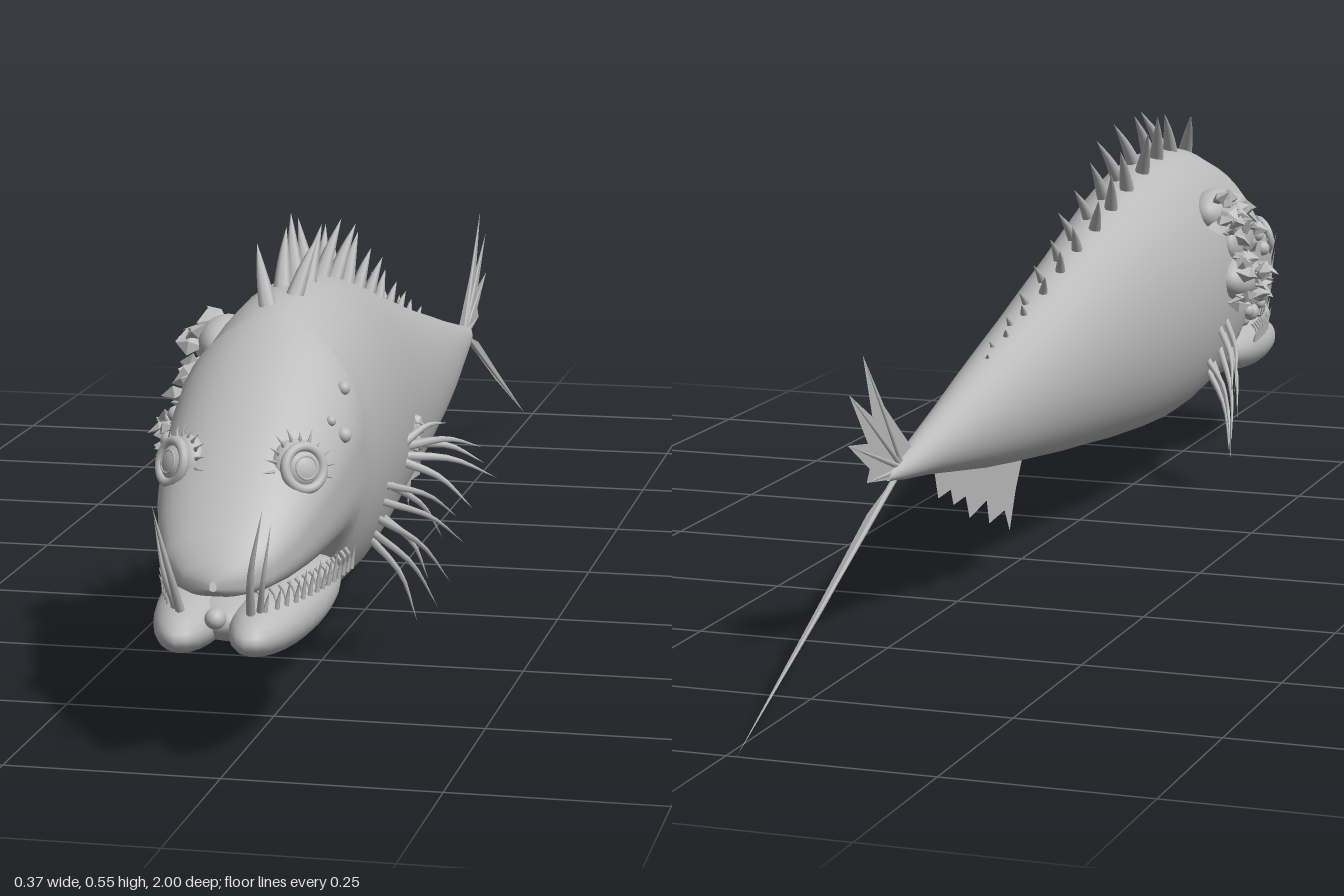
import * as THREE from 'three';

const MID = -0.013; // the body sits slightly off centre
const SIDES = 40;

// Body stations: z, top, bottom, half width
const STATIONS = [
  [0.975, 0.216, 0.205, 0.004], [0.968, 0.236, 0.198, 0.036], [0.945, 0.264, 0.196, 0.062],
  [0.9, 0.306, 0.195, 0.082], [0.85, 0.352, 0.195, 0.096], [0.8, 0.393, 0.195, 0.105],
  [0.74, 0.437, 0.195, 0.111], [0.705, 0.457, 0.188, 0.113], [0.69, 0.464, 0.125, 0.112],
  [0.65, 0.477, 0.106, 0.113], [0.58, 0.484, 0.098, 0.114], [0.5, 0.48, 0.095, 0.112],
  [0.4, 0.459, 0.1, 0.104], [0.3, 0.433, 0.108, 0.094], [0.2, 0.405, 0.119, 0.085],
  [0.1, 0.378, 0.129, 0.078], [0, 0.351, 0.141, 0.069], [-0.1, 0.326, 0.153, 0.06],
  [-0.2, 0.302, 0.166, 0.049], [-0.3, 0.277, 0.182, 0.037], [-0.4, 0.254, 0.198, 0.025],
  [-0.48, 0.236, 0.208, 0.014], [-0.53, 0.224, 0.216, 0.003],
];

function section(z) {
  let i = 0;
  while (i < STATIONS.length - 2 && STATIONS[i + 1][0] > z) i++;
  const a = STATIONS[i], b = STATIONS[i + 1];
  const t = THREE.MathUtils.clamp((z - a[0]) / (b[0] - a[0]), 0, 1);
  return a.map((v, k) => v + (b[k] - v) * t);
}

// Point on the skin at depth z; angle 0 is the model's left, PI/2 the back
function skin(z, angle) {
  const [, top, bottom, half] = section(z);
  const c = Math.cos(angle), s = Math.sin(angle);
  const p = s < 0 && z > 0.7 ? 0.6 : 1; // squarer lower edge above the mouth
  const mid = (top + bottom) / 2, ry = (top - bottom) / 2;
  return new THREE.Vector3(MID + half * Math.sign(c) * Math.abs(c) ** p,
    mid + ry * Math.sign(s) * Math.abs(s) ** p, z);
}

// Skin point at a given height on one side
function flank(z, y, side) {
  const [, top, bottom] = section(z);
  const s = THREE.MathUtils.clamp((2 * y - top - bottom) / (top - bottom), -1, 1);
  const a = Math.asin(s);
  return skin(z, side > 0 ? a : Math.PI - a);
}

function bodyGeometry() {
  const pos = [], index = [];
  STATIONS.forEach(([z]) => {
    for (let j = 0; j < SIDES; j++) pos.push(...skin(z, (j / SIDES) * Math.PI * 2).toArray());
  });
  for (let i = 0; i < STATIONS.length - 1; i++) {
    for (let j = 0; j < SIDES; j++) {
      const k = (j + 1) % SIDES, a = i * SIDES, b = a + SIDES;
      index.push(a + j, b + j, a + k, b + j, b + k, a + k);
    }
  }
  const g = new THREE.BufferGeometry();
  g.setAttribute('position', new THREE.Float32BufferAttribute(pos, 3));
  g.setIndex(index);
  g.computeVertexNormals();
  return g;
}

// Curved spine tapering to a point
function spineGeometry(points, radius, steps = 7, sides = 7) {
  const curve = new THREE.CatmullRomCurve3(points.map((p) => new THREE.Vector3(...p)));
  const g = new THREE.TubeGeometry(curve, steps, radius, sides);
  const pos = g.attributes.position, v = new THREE.Vector3();
  for (let i = 0; i < pos.count; i++) {
    const t = Math.floor(i / (sides + 1)) / steps;
    v.fromBufferAttribute(pos, i).lerp(curve.getPointAt(t), t ** 1.3);
    pos.setXYZ(i, v.x, v.y, v.z);
  }
  return g;
}

function randomizer(seed) {
  return () => ((seed = (seed * 16807) % 2147483647) / 2147483647);
}

export function createModel() {
  const model = new THREE.Group();
  const skinGray = new THREE.MeshStandardMaterial({ color: 0xbbbbbb, side: THREE.DoubleSide });
  skinGray.name = 'skin gray';
  const rand = randomizer(71);
  const spread = (n) => (rand() * 2 - 1) * n;

  const add = (name, geometry, parent = model) => {
    const m = new THREE.Mesh(geometry, skinGray);
    m.name = name;
    parent.add(m);
    return m;
  };
  const ball = (name, p, scale, parent = model) => {
    const m = add(name, new THREE.SphereGeometry(1, 24, 16), parent);
    m.position.set(...p);
    m.scale.set(...scale);
    return m;
  };
  const spine = (name, points, r, steps) => add(name, spineGeometry(points, r, steps));

  add('body', bodyGeometry());

  // Lower jaw: two long lobes, chin nub and mouth floor
  for (const s of [-1, 1]) {
    const lobe = ball('jawLobe', [MID + s * 0.049, 0.158, 0.835], [0.046, 0.037, 0.16]);
    lobe.rotation.set(0.05, -s * 0.06, 0);
  }
  ball('mouthFloor', [MID, 0.157, 0.79], [0.085, 0.04, 0.155]);
  ball('chinNub', [MID, 0.172, 0.965], [0.012, 0.012, 0.014]);

  for (const s of [-1, 1]) {
    // Long front fangs
    spine('fang', [[MID + s * 0.04, 0.18, 0.965], [MID + s * 0.046, 0.23, 0.988],
      [MID + s * 0.062, 0.305, 0.998]], 0.0055);
    spine('innerFang', [[MID + s * 0.048, 0.18, 0.955], [MID + s * 0.056, 0.22, 0.972],
      [MID + s * 0.066, 0.285, 0.975]], 0.004);
    // Rows of small teeth along the lips
    for (let i = 0; i < 14; i++) {
      const z = 0.735 + i * 0.0165, x = MID + s * section(z)[3] * 0.92;
      const h = 0.014 + rand() * 0.02;
      spine('lowerTooth', [[x, 0.178, z], [x + s * 0.003, 0.185 + h * 0.5, z], [x + s * 0.006, 0.185 + h, z + 0.003]], 0.003, 3);
      spine('upperTooth', [[x - s * 0.006, 0.204, z + 0.008], [x, 0.195, z + 0.008], [x, 0.183, z + 0.008]], 0.0025, 3);
    }

    // Eyes: socket, rim, eyeball, pupil and short lashes
    const eye = new THREE.Group();
    eye.name = 'eye';
    eye.position.set(MID + s * 0.071, 0.32, 0.853);
    eye.lookAt(eye.position.clone().add(new THREE.Vector3(s * 0.66, 0.25, 0.7)));
    model.add(eye);
    ball('eyeSocket', [0, 0, -0.01], [0.031, 0.034, 0.02], eye);
    const rim = add('eyeRim', new THREE.TorusGeometry(0.024, 0.006, 10, 28), eye);
    rim.position.z = 0.008;
    ball('eyeball', [0, 0, 0.005], [0.021, 0.021, 0.011], eye);
    const pupil = add('pupil', new THREE.TorusGeometry(0.013, 0.0015, 6, 24), eye);
    pupil.position.z = 0.0135;
    for (let i = 0; i < 18; i++) {
      const a = (i / 18) * Math.PI * 2, c = Math.cos(a), d = Math.sin(a), r = 0.038 + rand() * 0.012;
      add('eyeLash', spineGeometry([[c * 0.028, d * 0.028, -0.006], [c * 0.034, d * 0.034, -0.002],
        [c * r, d * r, -0.006]], 0.0028, 3, 5), eye);
    }

    // Pectoral fin: a fan of bare spines; root y, root z, then tip x, y, z
    for (const [y, z, tx, ty, tz] of [[0.17, 0.55, 0.132, 0.055, 0.5], [0.18, 0.56, 0.148, 0.06, 0.45],
      [0.2, 0.57, 0.158, 0.085, 0.42], [0.22, 0.57, 0.172, 0.13, 0.4], [0.24, 0.57, 0.165, 0.165, 0.41],
      [0.19, 0.52, 0.14, 0.1, 0.47], [0.235, 0.54, 0.152, 0.145, 0.44]]) {
      const p = flank(z, y, s), x = Math.abs(p.x - MID);
      spine('pectoralSpine', [[p.x - s * 0.006, y, z],
        [MID + s * ((tx + x) / 2 + 0.006), (y + ty) / 2 + 0.008, (z + tz) / 2], [MID + s * tx, ty, tz]], 0.005);
    }
  }

  // Wart patch and long tendrils on the left flank
  for (let i = 0; i < 10; i++) {
    const z = 0.34 + spread(0.045), y = 0.25 + spread(0.022);
    const wart = add('flankWart', new THREE.IcosahedronGeometry(0.005 + rand() * 0.006, 0));
    wart.position.copy(flank(z, y, 1));
    wart.rotation.set(rand() * 3, rand() * 3, 0);
  }
  for (const [y, z, tx, ty, tz] of [[0.24, 0.41, 0.187, 0.2, 0.335], [0.25, 0.4, 0.157, 0.225, 0.275],
    [0.26, 0.43, 0.13, 0.275, 0.37], [0.245, 0.36, 0.165, 0.21, 0.3], [0.235, 0.42, 0.165, 0.17, 0.38]]) {
    const p = flank(z, y, 1);
    spine('flankTendril', [[p.x - 0.006, y, z], [(p.x + tx) / 2, (y + ty) / 2 + 0.01, (z + tz) / 2],
      [tx, ty, tz]], 0.006);
  }

  // Jagged growths on the right flank: centre y, z, reach, count
  for (const [cy, cz, reach, count] of [[0.298, 0.6, 0.062, 26], [0.402, 0.55, 0.056, 22], [0.35, 0.62, 0.03, 8]]) {
    const root = flank(cz, cy, -1);
    ball('growthBase', [root.x, cy, cz], [reach * 0.55, 0.032, 0.058]);
    for (let i = 0; i < count; i++) {
      const dy = spread(0.034), dz = spread(0.055);
      const out = reach * (0.6 + 0.4 * rand()) * (1 - Math.abs(dy) * 13 - Math.abs(dz) * 6);
      const shard = add('growthShard', new THREE.OctahedronGeometry(1, 0));
      shard.position.set(root.x - Math.max(0.008, out * 0.9), cy + dy, cz + dz);
      shard.scale.set(0.018, 0.005 + rand() * 0.005, 0.008 + rand() * 0.01);
      shard.rotation.set(rand() * 3, spread(0.6), spread(0.7));
    }
  }

  // Round warts on the head: side, y, z, radius
  for (const [s, y, z, r] of [[1, 0.388, 0.73, 0.008], [1, 0.342, 0.77, 0.009], [1, 0.36, 0.78, 0.006],
    [-1, 0.22, 0.74, 0.01], [-1, 0.245, 0.72, 0.013], [-1, 0.27, 0.75, 0.011], [-1, 0.29, 0.72, 0.014],
    [-1, 0.32, 0.74, 0.011], [-1, 0.345, 0.71, 0.01], [-1, 0.25, 0.77, 0.009], [-1, 0.235, 0.68, 0.01]]) {
    ball('headWart', flank(z, y, s).toArray(), [r, r, r]);
  }

  // Dorsal spines, leaning back and shrinking along the rear half
  for (let i = 0; i < 25; i++) {
    const z = 0.665 - i * 0.035, t = THREE.MathUtils.clamp((0.38 - z) / 0.58, 0, 1);
    const h = (0.074 - 0.062 * t ** 0.75) * (0.82 + 0.18 * rand());
    const lean = [-0.4, 0.25, -0.12, 0.08, -0.28, 0.2][i % 6] * h;
    const x = MID + Math.sign(lean) * 0.011 * (1 - t), y = section(z)[1] - 0.008;
    spine('dorsalSpine', [[x, y, z], [x + lean * 0.5, y + h * 0.53, z - h * 0.38],
      [x + lean, y + h, z - h * 0.85]], 0.011 - 0.007 * t, 5);
  }

  // Thin fins in the middle plane, outlined as z, y pairs
  const fin = (name, outline) => {
    const g = new THREE.ShapeGeometry(new THREE.Shape(outline.map((p) => new THREE.Vector2(...p))));
    add(name, g.rotateY(-Math.PI / 2)).position.x = MID;
  };
  fin('analFin', [[-0.03, 0.152], [-0.06, 0.11], [-0.085, 0.058], [-0.105, 0.09], [-0.165, 0.085],
    [-0.175, 0.118], [-0.24, 0.108], [-0.255, 0.14], [-0.3, 0.138], [-0.31, 0.16], [-0.355, 0.158],
    [-0.37, 0.198], [-0.2, 0.18]]);
  fin('upperTailFin', [[-0.44, 0.236], [-0.54, 0.31], [-0.61, 0.385], [-0.58, 0.305], [-0.655, 0.345],
    [-0.595, 0.275], [-0.66, 0.285], [-0.59, 0.243], [-0.6, 0.228], [-0.52, 0.216]]);
  fin('lowerTailFin', [[-0.49, 0.222], [-0.6, 0.19], [-0.75, 0.118], [-1, 0], [-0.74, 0.106], [-0.62, 0.16]]);
  for (const [y, z] of [[0.385, -0.61], [0.345, -0.655], [0.285, -0.66], [0.228, -0.6]]) {
    spine('tailRay', [[MID, 0.222, -0.48], [MID, 0.222 + (y - 0.222) * 0.5, (z - 0.48) / 2], [MID, y, z]], 0.004);
  }
  spine('longTailRay', [[MID, 0.222, -0.49], [MID, 0.112, -0.74], [MID, 0, -1]], 0.004, 14);
  return model;
}
